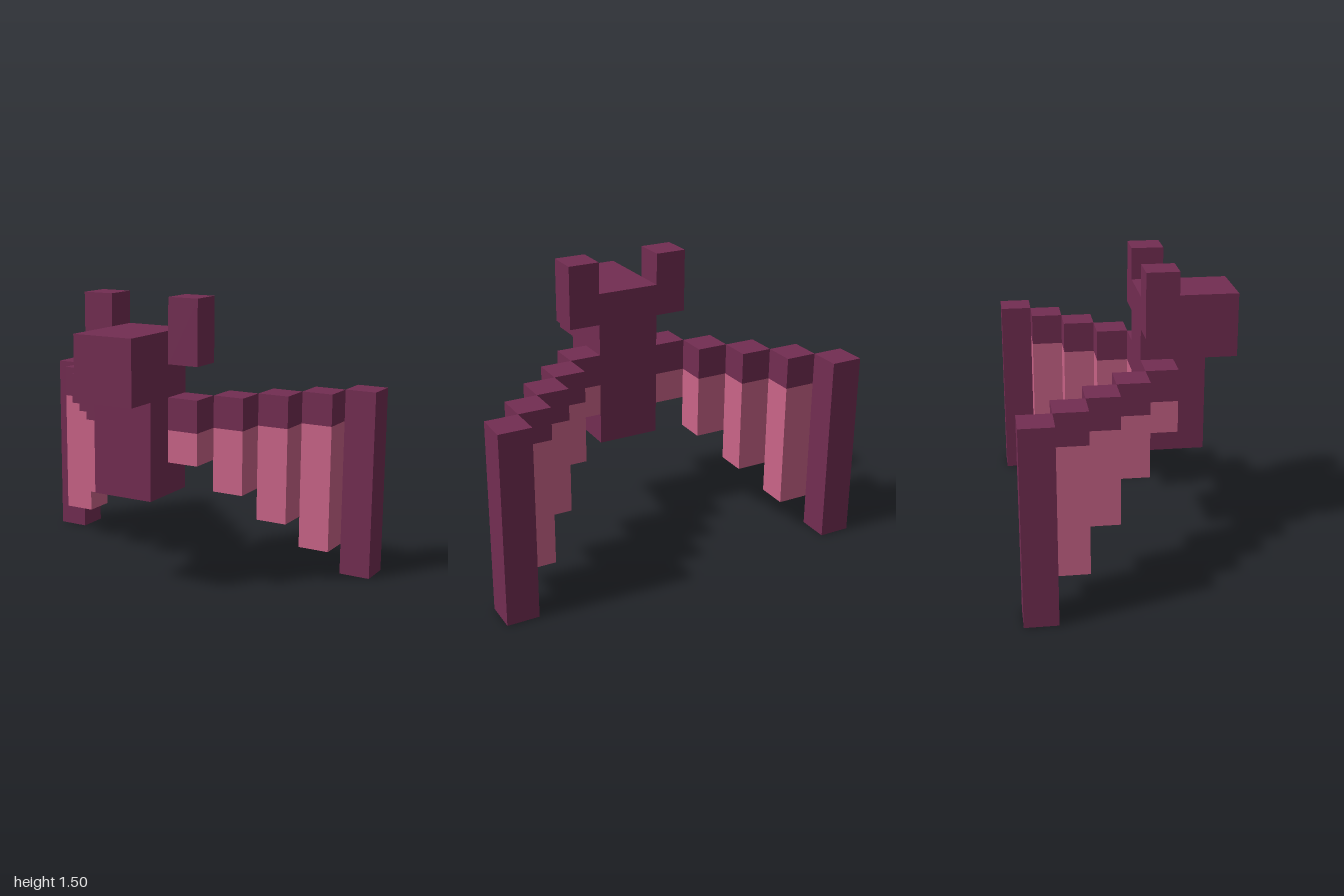
import * as THREE from 'three';

// One block is a sixth of a unit
const U = 1 / 6;

export function createModel() {
  const model = new THREE.Group();
  model.name = 'bat';

  const fur = new THREE.MeshStandardMaterial({ color: 0x732d52 });
  fur.name = 'dark plum';
  const membrane = new THREE.MeshStandardMaterial({ color: 0xca6488 });
  membrane.name = 'pink';

  // Box from its minimum corner and size, both in blocks
  function block(name, material, [x, y, z], [w, h, d], parent = model) {
    const mesh = new THREE.Mesh(new THREE.BoxGeometry(w * U, h * U, d * U), material);
    mesh.position.set((x + w / 2) * U, (y + h / 2) * U, (z + d / 2) * U);
    mesh.name = name;
    parent.add(mesh);
  }

  // Body and overhanging head
  block('body', fur, [-1, 3, 0.5], [2, 3, 2]);
  block('head', fur, [-1, 6, 0.5], [2, 2, 3]);

  for (const side of [1, -1]) {
    const label = side > 0 ? 'left' : 'right';
    const left = (x) => (side > 0 ? x : -x - 1); // mirrors a one-block-wide part

    block(label + 'Ear', fur, [left(1), 7, 0.5], [1, 2, 1]);

    // Wing columns step outward, backward and further down
    const wing = new THREE.Group();
    wing.name = label + 'Wing';
    model.add(wing);
    for (let i = 0; i < 4; i++) {
      const x = left(1 + i), z = 0.5 - i;
      block('wingBone', fur, [x, 5, z], [1, 1, 1], wing);
      block('wingMembrane', membrane, [x, 4 - i, z], [1, 1 + i, 1], wing);
    }
    block('wingTip', fur, [left(5), 0, -3.5], [1, 6, 1], wing);
  }
  return model;
}
